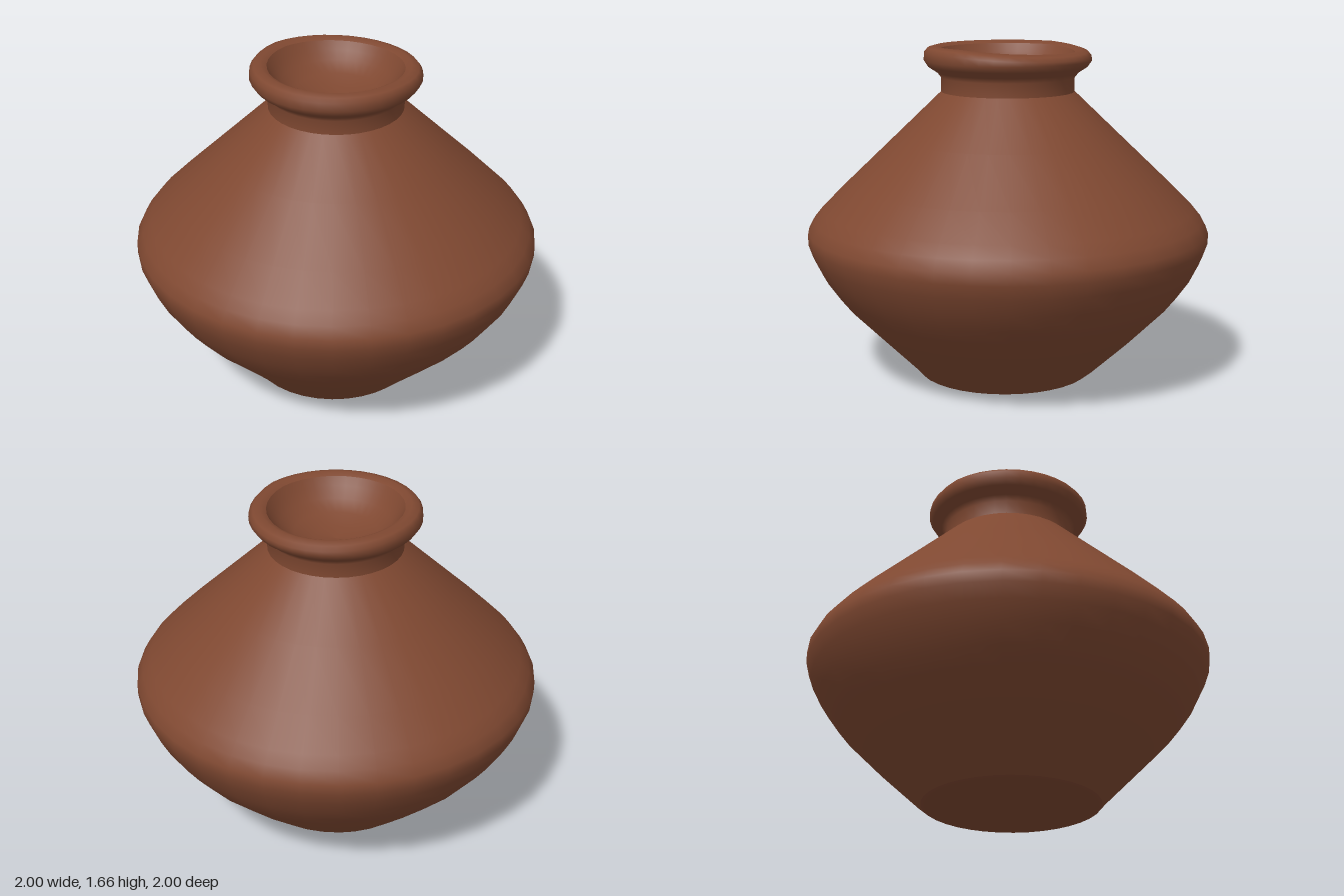
import * as THREE from 'three';

const SEGMENTS = 36;

// Turn a profile of [radius, height] points into a smooth surface
function turned(name, points, material) {
  const profile = points.map(([r, y]) => new THREE.Vector2(r, y));
  const geometry = new THREE.LatheGeometry(profile, SEGMENTS);
  const p = geometry.attributes.position;
  for (let i = 0; i < p.count; i++) {
    const x = p.getX(i), y = p.getY(i);
    // The lip dips slightly on the left side
    if (y > 1.62 && x > 0) p.setY(i, y - 0.06 * x);
    // The foot sits slightly off centre
    if (y < 0.1) p.setX(i, x - 0.025 * (1 - y / 0.1));
  }
  const mesh = new THREE.Mesh(geometry, material);
  mesh.name = name;
  return mesh;
}

export function createModel() {
  const clay = new THREE.MeshStandardMaterial({ color: 0x7f4831 });
  clay.name = 'terracotta';

  const vase = new THREE.Group();
  vase.name = 'vase';

  // Flat underside
  vase.add(turned('base', [[0, 0.01], [0.4, 0.01], [0.435, 0.02]], clay));

  // Wide body, with a soft ridge at the widest point
  vase.add(turned('body', [
    [0.435, 0.02], [0.48, 0.065], [0.64, 0.22], [0.81, 0.39], [0.87, 0.465],
    [0.93, 0.55], [0.975, 0.64], [1.0, 0.71], [1.0, 0.765], [0.97, 0.82],
    [0.925, 0.875], [0.8, 1.0], [0.57, 1.22], [0.33, 1.45],
  ], clay));

  // Narrow neck and rolled lip
  vase.add(turned('neckAndLip', [
    [0.33, 1.45], [0.33, 1.52], [0.35, 1.545], [0.395, 1.575], [0.415, 1.605],
    [0.412, 1.645], [0.395, 1.665], [0.36, 1.675], [0.33, 1.66],
  ], clay));

  // Hollow of the mouth
  vase.add(turned('mouth', [
    [0.33, 1.66], [0.305, 1.62], [0.265, 1.57], [0.2, 1.525], [0.1, 1.495], [0, 1.485],
  ], clay));

  return vase;
}
